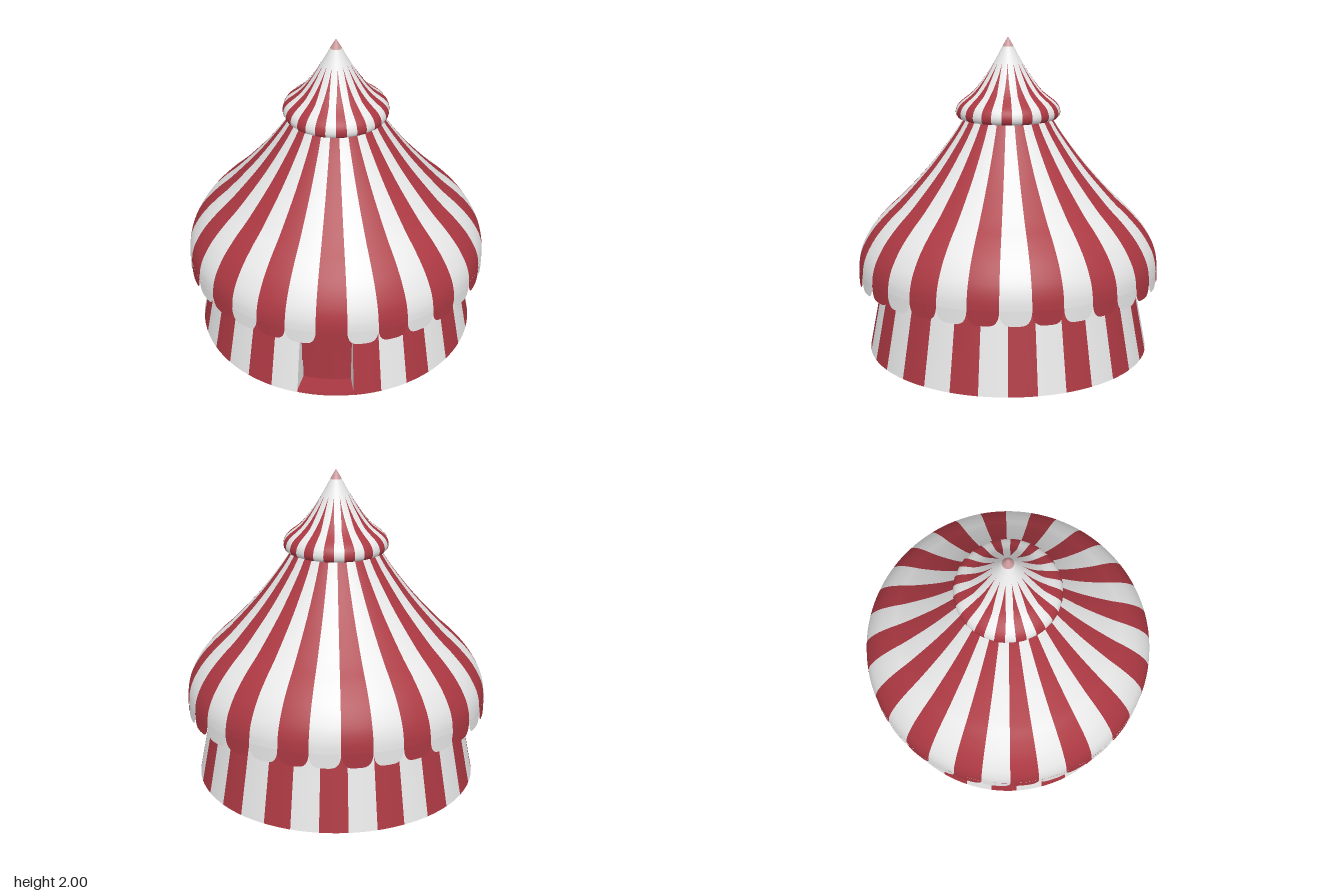
import * as THREE from 'three';
import { mergeGeometries } from 'three/addons/utils/BufferGeometryUtils.js';

const STEP = Math.PI / 16; // width of one of the 32 stripes
const DEG = Math.PI / 180;

const mat = (name, color) => {
  const m = new THREE.MeshStandardMaterial({ color, side: THREE.DoubleSide });
  m.name = name;
  return m;
};

const points = (list) => list.map(([r, y]) => new THREE.Vector2(r, y));
const smooth = (list, n) => new THREE.SplineCurve(points(list)).getPoints(n);

// Sheet bent round the axis, with its lower edge cut to a curve; u runs from -1 to 1
function hanging(start, width, topY, bottomY, radius) {
  const g = new THREE.PlaneGeometry(1, 1, 20, 1);
  const p = g.attributes.position;
  for (let i = 0; i < p.count; i++) {
    const u = Math.sin(p.getX(i) * Math.PI);
    const a = start + (u + 1) / 2 * width;
    const y = p.getY(i) > 0 ? topY : bottomY(u);
    p.setXYZ(i, radius * Math.sin(a), y, radius * Math.cos(a));
  }
  g.computeVertexNormals();
  return g;
}

export function createModel() {
  const group = new THREE.Group();
  const red = mat('red canvas', 0xab3842);
  const white = mat('white canvas', 0xe8e8e8);
  const pink = mat('pink tip', 0xc9989b);

  const add = (name, geometry, material) => {
    const mesh = new THREE.Mesh(geometry, material);
    mesh.name = name;
    group.add(mesh);
  };

  // Makes 32 alternating pieces; odd ones are white when firstRed is true
  const striped = (name, make, firstRed, skip = []) => {
    const sets = [[], []];
    for (let k = 0; k < 32; k++) {
      if (!skip.includes(k)) sets[k % 2].push(make(k));
    }
    add(name + 'Red', mergeGeometries(sets[firstRed ? 0 : 1]), red);
    add(name + 'White', mergeGeometries(sets[firstRed ? 1 : 0]), white);
  };

  // Wall, with two stripes left out for the doorway
  const wallProfile = points([[0.9, 0], [0.803, 0.5]]);
  striped('wall', (k) => new THREE.LatheGeometry(wallProfile, 4, k * STEP, STEP), true, [0, 1]);

  // Floor
  const floor = new THREE.CylinderGeometry(0.893, 0.898, 0.02, 128);
  floor.translate(0, 0.01, 0);
  add('floor', floor, red);

  // Doorway: recessed back, side returns and a pair of parted curtains
  add('doorBack', new THREE.LatheGeometry(points([[0.77, 0], [0.765, 0.5]]), 8, 0, 2 * STEP), red);
  const returnShape = new THREE.Shape(points([[0.77, 0], [0.9, 0], [0.803, 0.5], [0.765, 0.5]]));
  for (const angle of [0, 2 * STEP]) {
    const side = new THREE.ShapeGeometry(returnShape);
    side.rotateY(angle - Math.PI / 2);
    add('doorReturn', side, white);
  }
  const drape = (u) => 0.17 + 0.32 * (1 - Math.abs(u)) ** 2;
  add('doorCurtains', hanging(0, 2 * STEP, 0.495, drape, 0.79), red);

  // Underside of the eaves
  add('eavesUnderside', new THREE.LatheGeometry(points([[0.7, 0.49], [0.81, 0.49], [0.953, 0.545]]), 128), red);

  // Main roof and its scalloped edge
  const roofStart = -3 * DEG;
  const roofProfile = smooth([
    [0.958, 0.55], [0.95, 0.62], [0.922, 0.7], [0.86, 0.8], [0.77, 0.9], [0.665, 1],
    [0.485, 1.2], [0.335, 1.4], [0.262, 1.52],
  ], 40);
  striped('roof', (k) => new THREE.LatheGeometry(roofProfile, 4, roofStart + k * STEP, STEP), false);
  const scallop = (u) => 0.552 - 0.092 * Math.sqrt(Math.max(0, 1 - u ** 4));
  striped('scallops', (k) => hanging(roofStart + k * STEP, STEP, 0.552, scallop, 0.959), false);

  // Upper cap
  const capList = [
    [0.25, 1.5], [0.295, 1.495], [0.32, 1.51], [0.325, 1.545], [0.3, 1.59], [0.215, 1.66],
    [0.145, 1.75], [0.075, 1.865], [0.035, 1.94],
  ];
  const capProfile = smooth(capList, 40);
  add('cap', new THREE.LatheGeometry(capProfile, 128), white);
  add('capTip', new THREE.LatheGeometry(points([[0.035, 1.94], [0, 2]]), 64), pink);

  // Red cap stripes that narrow to points near the tip
  const capStripes = [];
  const stripeProfile = capProfile.filter((p) => p.y < 1.86).map((p) => new THREE.Vector2(p.x + 0.002, p.y));
  for (let k = 0; k < 16; k++) {
    const centre = -1.3 * DEG + k * 2 * STEP;
    const g = new THREE.LatheGeometry(stripeProfile, 4, centre - STEP / 2, STEP);
    const p = g.attributes.position;
    for (let i = 0; i < p.count; i++) {
      const y = p.getY(i);
      const r = Math.hypot(p.getX(i), p.getZ(i));
      const w = THREE.MathUtils.clamp((1.85 - y) / 0.19, 0, 1);
      const a = centre + (g.attributes.uv.getX(i) - 0.5) * STEP * w;
      p.setXYZ(i, r * Math.sin(a), y, r * Math.cos(a));
    }
    capStripes.push(g);
  }
  add('capStripes', mergeGeometries(capStripes), red);

  return group;
}
